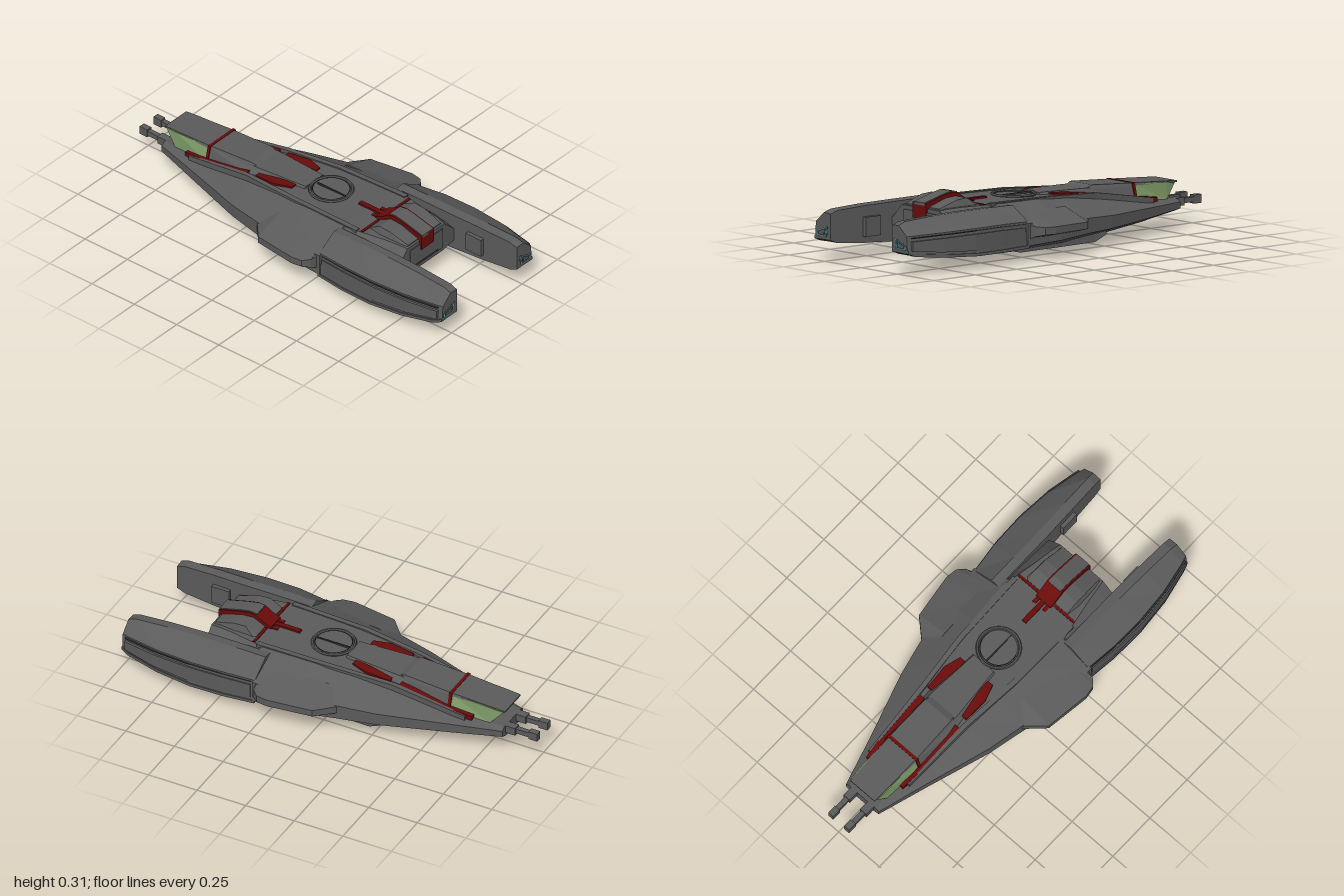
import * as THREE from 'three';

const mat = (name, color, side = THREE.FrontSide) => {
  const m = new THREE.MeshStandardMaterial({ color, flatShading: true, side });
  m.name = name;
  return m;
};

export function createModel() {
  const root = new THREE.Group();
  root.name = 'spaceship';
  const gray = mat('hull gray', 0x5b5b5b);
  const dark = mat('dark gray', 0x353535);
  const red = mat('deep red', 0x6a0b0b);
  const green = mat('canopy green', 0x7d9a68, THREE.DoubleSide);
  const cyan = mat('engine cyan', 0x4fb4c8);

  const add = (name, geo, material) => {
    const m = new THREE.Mesh(geo, material);
    m.name = name;
    root.add(m);
    return m;
  };
  const box = (name, material, x0, x1, y0, y1, z0, z1) => {
    const g = new THREE.BoxGeometry(x1 - x0, y1 - y0, z1 - z0);
    g.translate((x0 + x1) / 2, (y0 + y1) / 2, (z0 + z1) / 2);
    return add(name, g, material);
  };

  // Skin over rings [x, [[z, y], ...]]; rings run bottom, outside, top
  const loft = (sections, side = 1) => {
    const pos = [];
    const rings = sections.map(([x, pts]) => {
      const r = pts.map(([z, y]) => [x, y, z * side]);
      return side < 0 ? r.reverse() : r;
    });
    const tri = (a, b, c) => pos.push(...a, ...b, ...c);
    const n = rings[0].length;
    for (let i = 0; i < rings.length - 1; i++) {
      const a = rings[i], b = rings[i + 1];
      for (let j = 0; j < n; j++) {
        const k = (j + 1) % n;
        tri(a[j], b[j], a[k]);
        tri(a[k], b[j], b[k]);
      }
    }
    const first = rings[0], last = rings[rings.length - 1];
    for (let j = 1; j < n - 1; j++) {
      tri(first[0], first[j], first[j + 1]);
      tri(last[0], last[j + 1], last[j]);
    }
    const g = new THREE.BufferGeometry();
    g.setAttribute('position', new THREE.Float32BufferAttribute(pos, 3));
    g.computeVertexNormals();
    return g;
  };
  // Half ring mirrored into a full one
  const sym = (half) => [...half, ...half.map(([z, y]) => [-z, y]).reverse()];
  const pair = (name, material, sections) => {
    for (const s of [1, -1]) add((s > 0 ? 'front ' : 'rear ') + name, loft(sections, s), material);
  };
  const bar = (x, z0, z1, y0, y1) => [x, [[z0, y0], [z1, y0], [z1, y1], [z0, y1]]];

  // Main hull: x, bottom z/y, edge z, edge low/high y, top z/y
  const hull = [
    [-0.84, 0.06, 0.08, 0.10, 0.095, 0.125, 0.08, 0.138],
    [-0.60, 0.08, 0.05, 0.17, 0.085, 0.13, 0.09, 0.165],
    [-0.28, 0.11, 0.022, 0.27, 0.08, 0.14, 0.12, 0.215],
    [-0.10, 0.12, 0.008, 0.31, 0.08, 0.15, 0.15, 0.235],
    [0.10, 0.12, 0.005, 0.355, 0.075, 0.16, 0.18, 0.243],
    [0.31, 0.12, 0.005, 0.36, 0.07, 0.175, 0.19, 0.246],
    [0.36, 0.12, 0.012, 0.215, 0.045, 0.20, 0.18, 0.246],
    [0.52, 0.12, 0.032, 0.21, 0.06, 0.19, 0.15, 0.246],
    [0.59, 0.13, 0.05, 0.205, 0.075, 0.18, 0.14, 0.244],
    [0.64, 0.12, 0.095, 0.20, 0.11, 0.17, 0.13, 0.238],
  ];
  add('hull', loft(hull.map(([x, zb, yb, ze, y1, y2, zt, yt]) =>
    [x, sym([[zb, yb], [ze, y1], [ze, y2], [zt, yt]])])), gray);
  box('tail panel', gray, 0.638, 0.645, 0.115, 0.22, -0.115, 0.115);
  box('tail slot', dark, 0.644, 0.647, 0.122, 0.126, -0.08, 0.08);

  // Canopy glass and the long roof behind it
  add('canopy glass', loft([
    [-0.83, sym([[0.07, 0.208], [0.078, 0.22]])],
    [-0.77, sym([[0.088, 0.142], [0.083, 0.222]])],
    [-0.57, sym([[0.105, 0.162], [0.083, 0.232]])],
  ]), green);
  add('cockpit body', loft([
    [-0.57, sym([[0.11, 0.15], [0.085, 0.232]])],
    [-0.28, sym([[0.115, 0.20], [0.08, 0.243]])],
    [-0.02, sym([[0.08, 0.22], [0.06, 0.248]])],
  ]), gray);
  add('roof', loft([
    [-0.84, sym([[0.075, 0.213], [0.075, 0.221]])],
    [-0.57, sym([[0.088, 0.226], [0.082, 0.238]])],
    [-0.33, sym([[0.086, 0.235], [0.078, 0.253]])],
    [-0.30, sym([[0.08, 0.232], [0.07, 0.242]])],
  ]), gray);
  add('canopy frame', loft([
    [-0.575, sym([[0.112, 0.15], [0.089, 0.24]])],
    [-0.56, sym([[0.112, 0.15], [0.089, 0.241]])],
  ]), red);
  pair('cockpit red strip', red, [
    bar(-0.69, 0.075, 0.112, 0.14, 0.164),
    bar(-0.55, 0.08, 0.128, 0.15, 0.182),
    bar(-0.32, 0.08, 0.122, 0.18, 0.222),
  ]);
  pair('shoulder red strip', red, [
    bar(-0.27, 0.085, 0.118, 0.19, 0.227),
    bar(-0.15, 0.07, 0.125, 0.2, 0.24),
    bar(-0.07, 0.07, 0.10, 0.2, 0.244),
  ]);
  // Raised rails outside the red strips
  pair('shoulder rail', gray, [
    bar(-0.66, 0.115, 0.125, 0.13, 0.165),
    bar(-0.30, 0.122, 0.145, 0.18, 0.228),
    bar(0.00, 0.15, 0.175, 0.21, 0.246),
    bar(0.38, 0.16, 0.185, 0.22, 0.252),
  ]);

  // Side wings
  const wing = (x, z, y0, y1, t0, t1) => [x, [[0.24, y0], [z, t0], [z, t1], [0.24, y1]]];
  pair('wing', gray, [
    wing(-0.10, 0.31, 0.10, 0.17, 0.11, 0.145),
    wing(-0.02, 0.398, 0.08, 0.205, 0.12, 0.152),
    wing(0.20, 0.428, 0.075, 0.215, 0.122, 0.156),
    wing(0.255, 0.42, 0.075, 0.215, 0.122, 0.156),
    wing(0.285, 0.39, 0.075, 0.215, 0.115, 0.16),
    wing(0.295, 0.355, 0.075, 0.215, 0.10, 0.165),
  ]);

  // Engine nacelles: x, inner z, outer z, bottom, side top, top
  const nacelle = [
    [0.30, 0.20, 0.355, 0.06, 0.18, 0.245],
    [0.45, 0.20, 0.372, 0.06, 0.186, 0.247],
    [0.62, 0.20, 0.376, 0.06, 0.186, 0.247],
    [0.80, 0.205, 0.362, 0.07, 0.184, 0.245],
    [0.96, 0.21, 0.33, 0.085, 0.18, 0.238],
    [1.00, 0.212, 0.318, 0.10, 0.178, 0.225],
  ];
  pair('nacelle', gray, nacelle.map(([x, zi, zo, y0, y1, y2]) =>
    [x, [[zi, y0], [zo, y0], [zo - 0.006, y1], [zi + 0.045, y2], [zi, y2 - 0.004]]]));
  pair('nacelle lower flange', gray, nacelle.map(([x, zi, zo, y0]) =>
    bar(x, zo - 0.03, zo + 0.005, y0 - 0.001, y0 + 0.013)));
  pair('nacelle side panel', gray, nacelle.slice(0, 5).map(([x, zi, zo, y0, y1]) =>
    bar(x + 0.02, zo - 0.02, zo + 0.003, y0 + 0.025, y1 - 0.025)));
  pair('nacelle seam', dark, nacelle.slice(0, 5).map(([x, zi, zo, y0, y1]) =>
    bar(x + 0.02, zo - 0.02, zo - 0.0005, y1 - 0.012, y1 - 0.008)));

  // Engine outlets on the tail ends
  const quad = (k) => [[0.305, 0.135], [0.237, 0.16], [0.242, 0.117], [0.303, 0.117]]
    .map(([z, y]) => new THREE.Vector2(0.272 + (z - 0.272) * k, 0.132 + (y - 0.132) * k));
  const plate = (outer, inner, s) => {
    const shape = new THREE.Shape(quad(outer).map((p) => p.set(-p.x * s, p.y)));
    if (inner) shape.holes.push(new THREE.Path(quad(inner).map((p) => p.set(-p.x * s, p.y))));
    return new THREE.ExtrudeGeometry(shape, { depth: 0.004, bevelEnabled: false })
      .rotateY(Math.PI / 2);
  };
  for (const s of [1, -1]) {
    add('engine surround', plate(1.22, 0, s), dark).position.x = 0.9965;
    add('engine glow frame', plate(1.05, 0.9, s), cyan).position.x = 0.998;
    add('engine outlet', plate(0.5, 0, s), gray).position.x = 0.998;
    const z = (a, b) => (s > 0 ? [a, b] : [-b, -a]);
    box('nacelle inner box', gray, 0.72, 0.81, 0.10, 0.19, ...z(0.185, 0.22));
    // Nose guns
    box('gun barrel', gray, -0.97, -0.80, 0.108, 0.132, ...z(0.038, 0.062));
    box('gun muzzle', gray, -1.0, -0.955, 0.10, 0.14, ...z(0.034, 0.064));
    box('gun collar', gray, -0.89, -0.82, 0.10, 0.138, ...z(0.032, 0.07));
    // Underside thrusters and rear red trim
    box('lower thruster', gray, 0.50, 0.54, 0.022, 0.045, ...z(0.06, 0.09));
    box('deck red trim', red, 0.395, 0.408, 0.235, 0.25, ...z(0.05, 0.17));
    box('deck red tab', red, 0.35, 0.40, 0.235, 0.25, ...z(0.02, 0.04));
  }

  // Tail fairing with the red arm over it
  add('tail fairing', loft([
    [0.41, sym([[0.14, 0.235], [0.12, 0.25]])],
    [0.47, sym([[0.135, 0.235], [0.122, 0.281]])],
    [0.53, sym([[0.135, 0.235], [0.122, 0.277]])],
    [0.63, sym([[0.13, 0.225], [0.115, 0.245]])],
  ]), gray);
  const arm = [[0.38, 0.255], [0.42, 0.272], [0.455, 0.296], [0.49, 0.301], [0.54, 0.291], [0.65, 0.262]];
  add('red tail arm', loft(arm.map(([x, y], i) =>
    bar(x, -0.045, 0.045, i === 5 ? 0.19 : 0.2, y))), red);
  add('tail arm cover', loft(arm.slice(2).map(([x, y]) =>
    bar(x, -0.037, 0.037, y - 0.01, y + 0.004))), gray);
  box('red tail rod', red, 0.25, 0.39, 0.24, 0.254, -0.012, 0.012);

  // Round dorsal hatch
  const ring = new THREE.TorusGeometry(0.098, 0.007, 6, 40).rotateX(Math.PI / 2);
  add('hatch ring', ring, gray).position.set(0.08, 0.247, 0);
  const seam = new THREE.RingGeometry(0.083, 0.088, 40).rotateX(-Math.PI / 2);
  add('hatch seam', seam, dark).position.set(0.08, 0.2495, 0);
  box('hatch line', dark, 0.0, 0.165, 0.24, 0.249, -0.003, 0.003);

  // Underside: red bay and side fairings
  box('belly red bay', red, -0.24, 0.26, 0.0, 0.025, -0.075, 0.075);
  box('belly hatch', gray, -0.03, 0.05, 0.0005, 0.02, 0.06, 0.115);
  box('belly hatch', gray, -0.03, 0.05, 0.0005, 0.02, -0.115, -0.06);
  pair('belly fairing', gray, [
    bar(-0.28, 0.13, 0.23, 0.05, 0.10),
    bar(-0.22, 0.12, 0.22, 0.018, 0.10),
    bar(0.22, 0.12, 0.21, 0.014, 0.09),
    bar(0.30, 0.12, 0.20, 0.03, 0.09),
  ]);
  return root;
}
